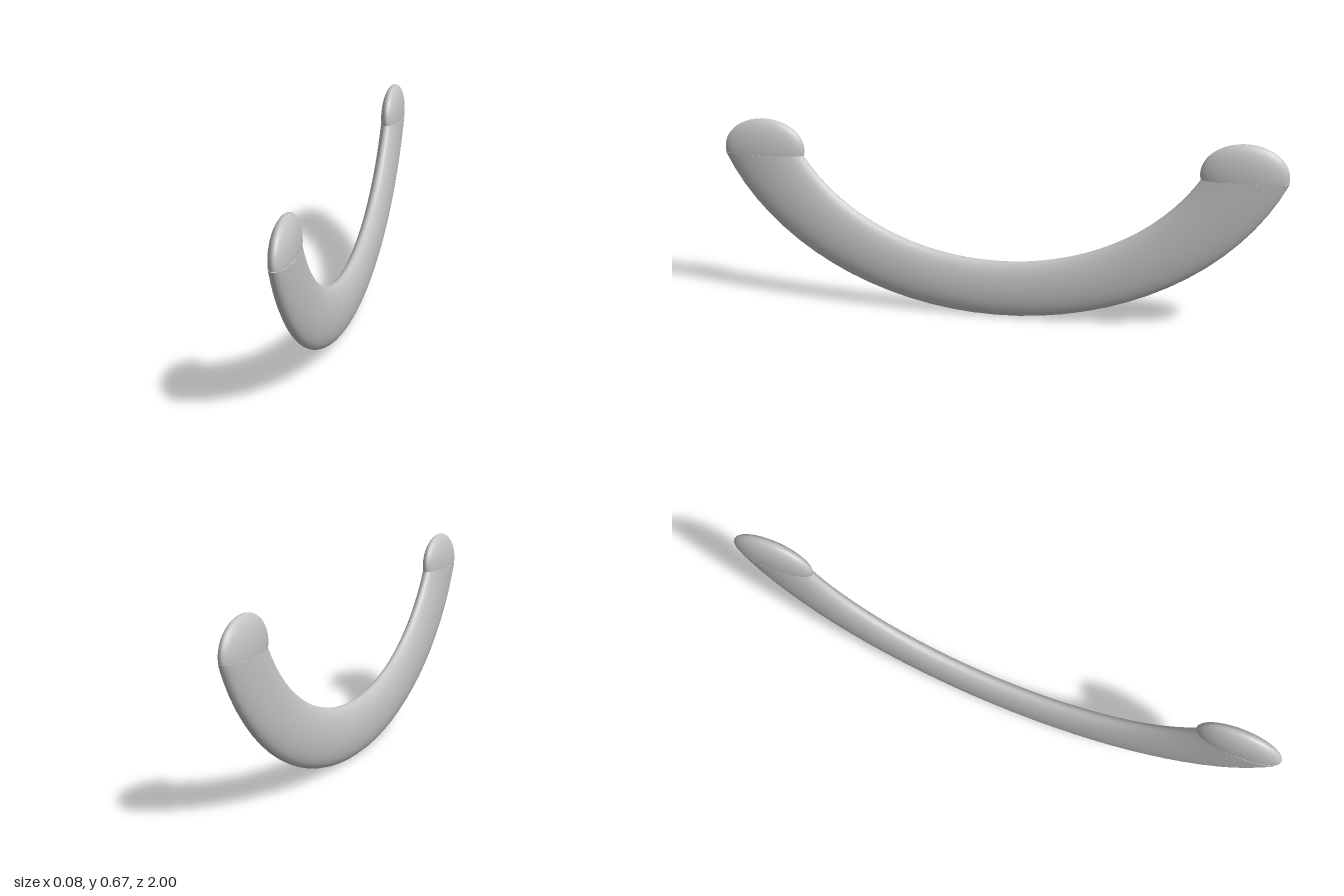
import * as THREE from 'three';
import { ParametricGeometry } from 'three/addons/geometries/ParametricGeometry.js';

export function createModel() {
  const group = new THREE.Group();
  const grey = new THREE.MeshStandardMaterial({ color: 0xc4c4c4 });
  grey.name = 'grey';

  const centreY = 0.84, endY = 0.54, halfWidth = 0.038;

  // Flattened ring segment, cut level at both ends
  const bow = new ParametricGeometry((u, v, target) => {
    const a = v * Math.PI * 2;
    const radius = 0.74 + 0.1 * Math.cos(a);
    const stretch = 1.2625 + 0.0125 * Math.cos(a);
    const t = (2 * u - 1) * Math.acos((centreY - endY) / radius);
    target.set(-halfWidth * Math.sin(a), centreY - radius * Math.cos(t), stretch * radius * Math.sin(t));
  }, 32, 32);
  const arc = new THREE.Mesh(bow, grey);
  arc.name = 'curvedBar';
  group.add(arc);

  // Flattened dome on each end, stopping level with the cut of the bar
  const capY = 0.558, capHeight = 0.11;
  const dome = new THREE.SphereGeometry(1, 40, 20, 0, Math.PI * 2, 0, Math.acos((endY - capY) / capHeight));
  dome.scale(halfWidth, capHeight, 0.149);
  for (const side of [1, -1]) {
    const cap = new THREE.Mesh(dome, grey);
    cap.name = side > 0 ? 'frontEndCap' : 'backEndCap';
    cap.position.set(0, capY, side * 0.851);
    group.add(cap);
  }
  return group;
}
